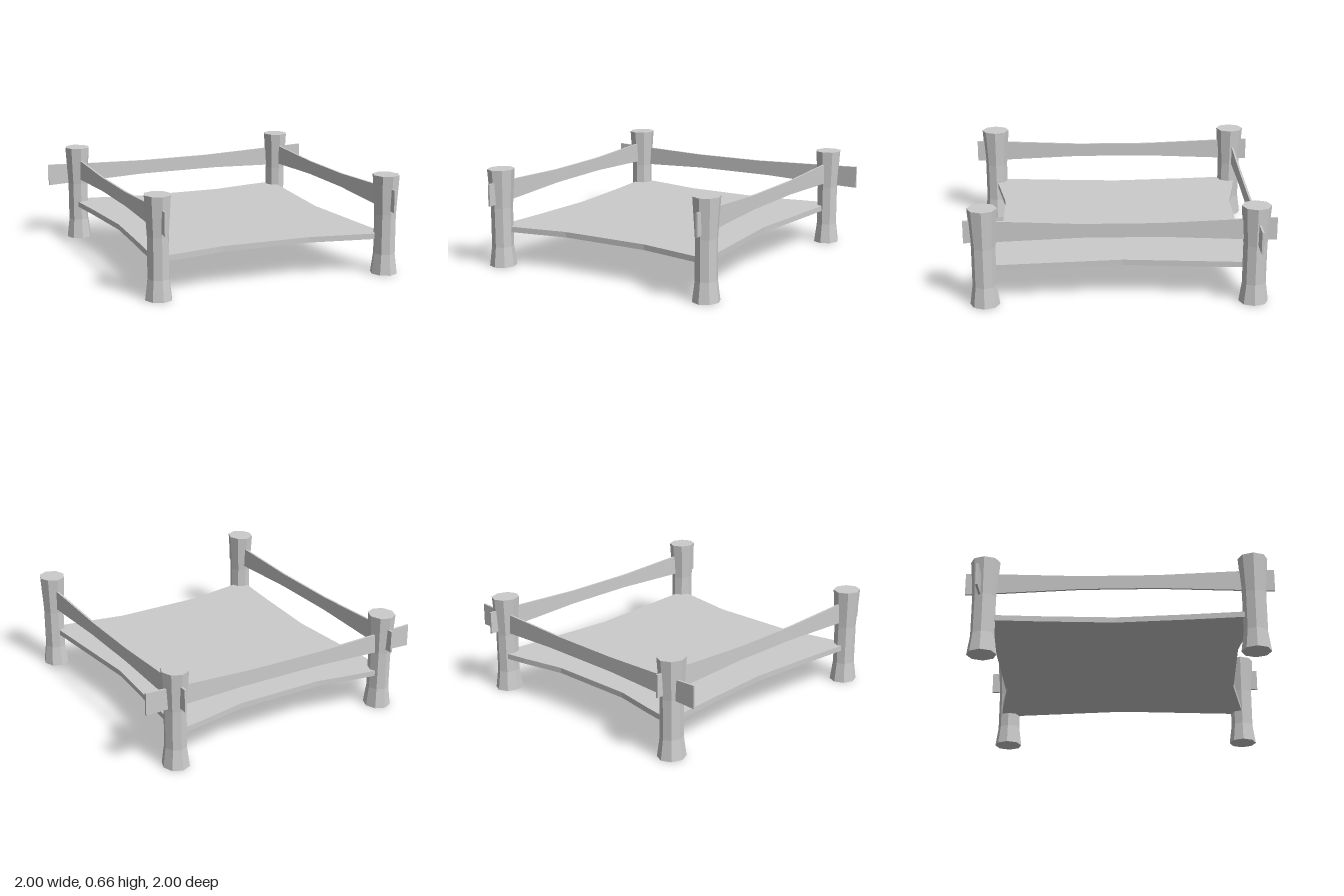
import * as THREE from 'three';

const material = new THREE.MeshStandardMaterial({ color: 0xcccccc, flatShading: true });

const toShape = (points) => new THREE.Shape(points.map(([x, y]) => new THREE.Vector2(x, y)));

// Thin plank running along x, centred on its own thickness
function railGeometry(top, bottom) {
  const geometry = new THREE.ExtrudeGeometry(toShape([...bottom, ...[...top].reverse()]),
    { depth: 0.014, bevelEnabled: false });
  return geometry.translate(0, 0, -0.007);
}

export function createModel() {
  const group = new THREE.Group();
  const add = (name, geometry, x = 0, y = 0, z = 0) => {
    const mesh = new THREE.Mesh(geometry, material);
    mesh.name = name;
    mesh.position.set(x, y, z);
    group.add(mesh);
    return mesh;
  };

  // Eight-sided corner posts, pinched at the waist and slightly deeper than wide
  const profile = [[0, 0], [0.088, 0], [0.071, 0.135], [0.071, 0.4], [0.088, 0.66], [0, 0.66]];
  const post = new THREE.LatheGeometry(profile.map(([r, y]) => new THREE.Vector2(r, y)), 8);
  post.scale(1, 1, 1.09);
  for (const [side, x] of [['left', 0.787], ['right', -0.79]]) {
    add(side + 'FrontPost', post, x, 0, 0.865);
    add(side + 'BackPost', post, x, 0, -0.865);
  }

  // Platform with inward-curving edges, outlined as x, z
  const outline = [
    [-0.82, 0.872], [-0.33, 0.78], [0.28, 0.78], [0.79, 0.872],
    [0.72, -0.02],
    [0.79, -0.92], [0.59, -0.888], [0.28, -0.825], [-0.31, -0.825], [-0.6, -0.88], [-0.82, -0.915],
    [-0.785, -0.5], [-0.755, -0.02], [-0.785, 0.45],
  ];
  const platform = new THREE.ExtrudeGeometry(toShape(outline), { depth: 0.037, bevelEnabled: false });
  platform.rotateX(Math.PI / 2);
  add('platform', platform, 0, 0.268, 0);

  // Side rails, passing through the posts
  const sideRail = railGeometry(
    [[-0.995, 0.577], [-0.75, 0.57], [-0.25, 0.55], [0.25, 0.55], [0.75, 0.57], [0.995, 0.577]],
    [[-0.995, 0.427], [-0.75, 0.435], [-0.25, 0.456], [0.25, 0.456], [0.75, 0.435], [0.995, 0.427]],
  ).rotateY(-Math.PI / 2);
  add('leftRail', sideRail, 0.789, 0, -0.005);
  add('rightRail', sideRail, -0.787, 0, 0.005);

  // Back rail, slightly lower and tilted
  const backRail = railGeometry(
    [[-1, 0.54], [-0.7, 0.53], [-0.28, 0.521], [0.22, 0.526], [0.7, 0.546], [1, 0.56]],
    [[-1, 0.39], [-0.7, 0.403], [-0.28, 0.422], [0.3, 0.426], [0.7, 0.415], [1, 0.41]],
  );
  add('backRail', backRail, 0, 0, -0.885).rotation.y = -0.003;

  return group;
}
